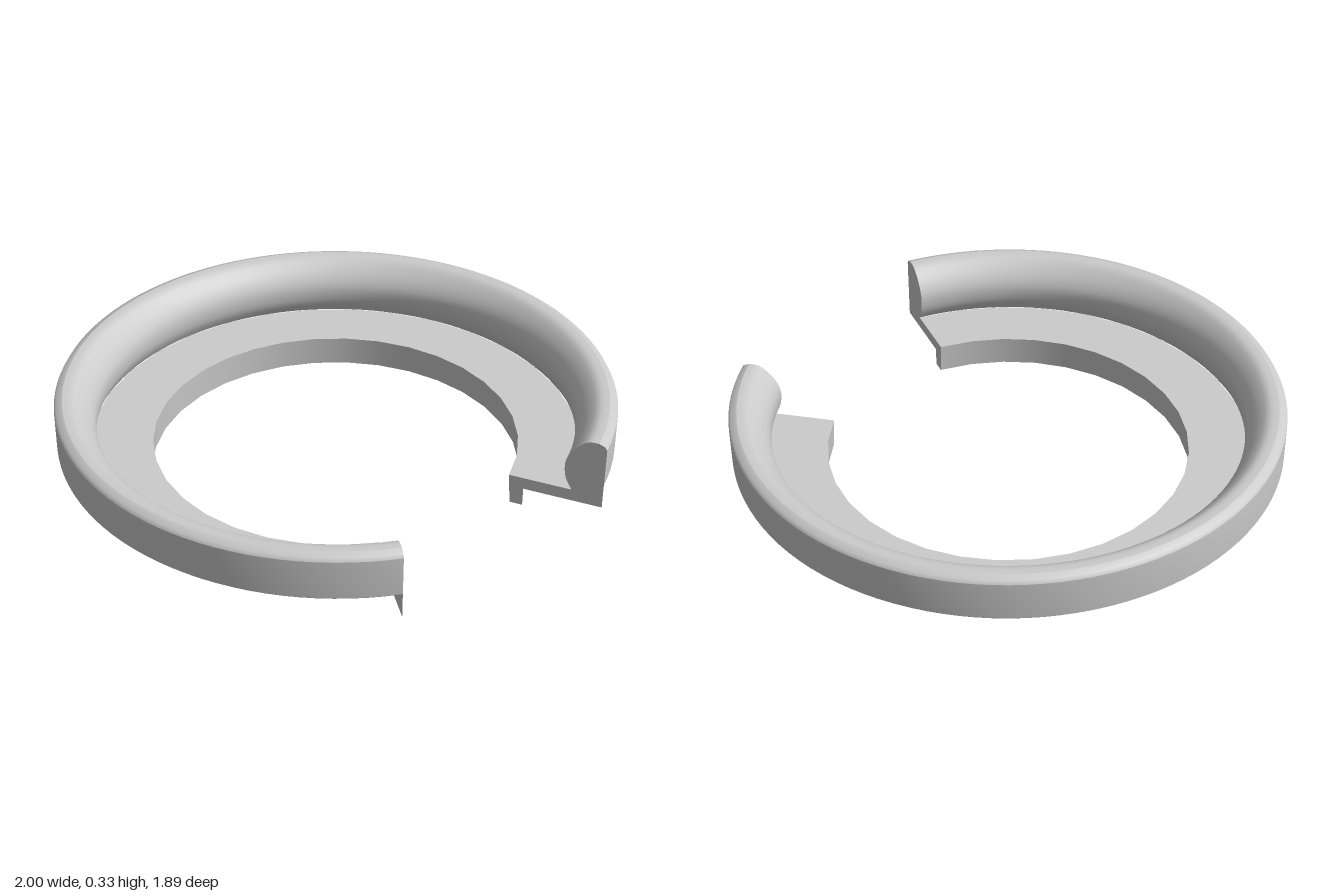
import * as THREE from 'three';

const START = THREE.MathUtils.degToRad(27.5); // half of the gap at the front
const SWEEP = Math.PI * 2 - START * 2;
const pt = ([r, y]) => new THREE.Vector2(r, y);

export function createModel() {
  const group = new THREE.Group();
  const material = new THREE.MeshStandardMaterial({ color: 0xcccccc, side: THREE.DoubleSide });

  const addMesh = (name, geometry) => {
    const mesh = new THREE.Mesh(geometry, material);
    mesh.name = name;
    group.add(mesh);
    return mesh;
  };
  const sweep = (name, points, segments) =>
    addMesh(name, new THREE.LatheGeometry(points, segments, START, SWEEP));

  // Profiles as radius and height
  const wall = [[0.99, 0.155], [1, 0.165], [1, 0.308]].map(pt);
  const shoulder = [[1, 0.308], [0.993, 0.321], [0.97, 0.33]].map(pt);
  const bulge = new THREE.SplineCurve(
    [[0.97, 0.33], [0.93, 0.325], [0.89, 0.29], [0.865, 0.25], [0.857, 0.21], [0.864, 0.16], [0.887, 0.115]].map(pt)
  ).getPoints(24);

  // Raised rim, open underneath
  sweep('outerWall', wall, 96);
  sweep('rimShoulder', shoulder, 96);
  sweep('innerBulge', bulge, 96);

  // Flat ledge and the faceted bore below it
  sweep('ledge', [[0.887, 0.115], [0.66, 0.115]].map(pt), 28);
  sweep('bore', [[0.66, 0.115], [0.668, 0]].map(pt), 28);

  // Flat plates closing both ends with the full section
  const section = new THREE.Shape([
    ...[[0.668, 0], [0.715, 0], [0.715, 0.07], [1, 0.07]].map(pt),
    ...wall.slice(1), ...shoulder.slice(1), ...bulge.slice(1),
    pt([0.66, 0.115]),
  ]);
  const plate = new THREE.ShapeGeometry(section);
  addMesh('leftEndPlate', plate).rotation.y = START - Math.PI / 2;
  addMesh('rightEndPlate', plate).rotation.y = -START - Math.PI / 2;

  // Centre the open ring front to back
  group.children.forEach((mesh) => { mesh.position.z = 0.057; });
  return group;
}
